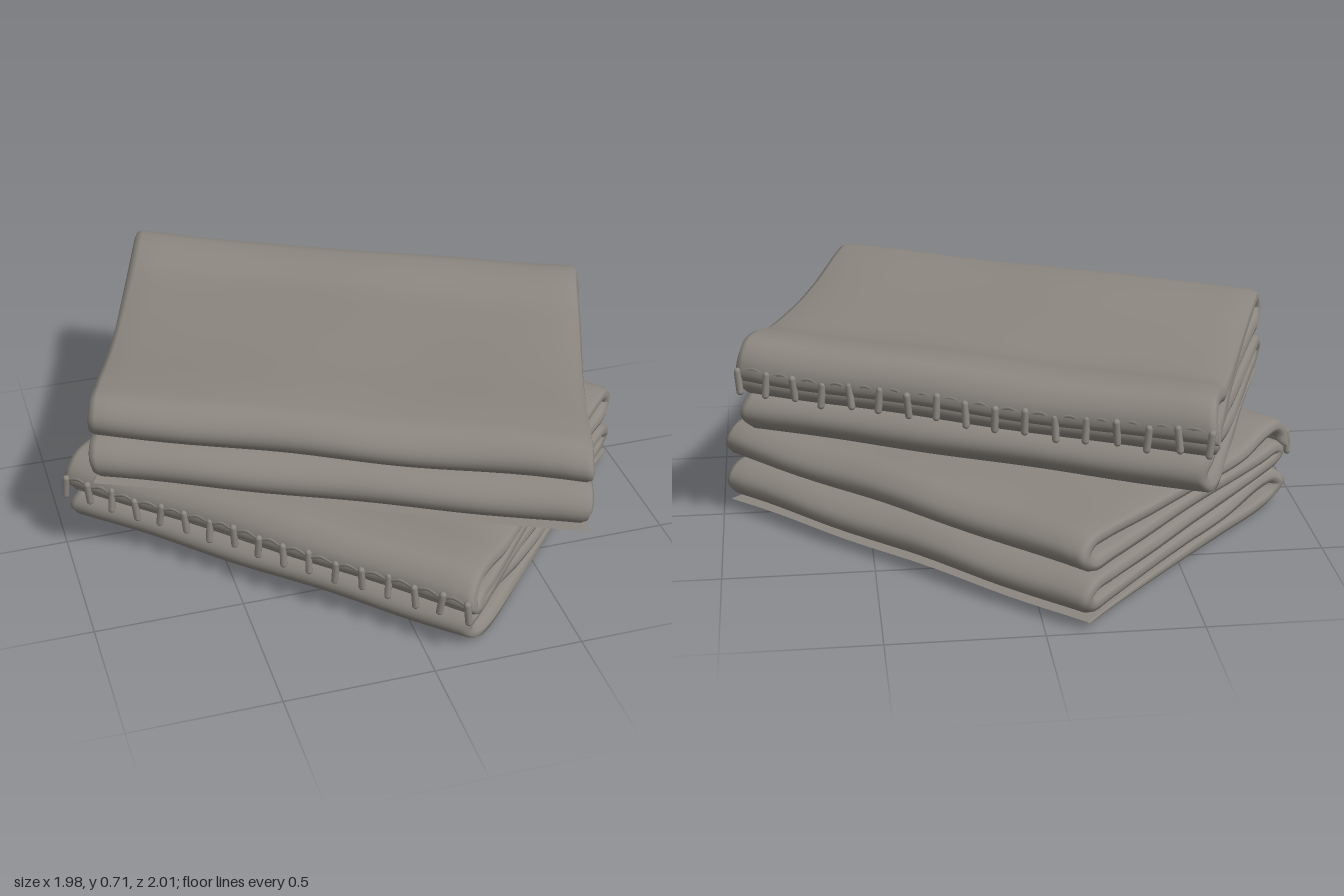
import * as THREE from 'three';

const cloth = new THREE.MeshStandardMaterial({ color: 0x8c8780 });
cloth.name = 'warm grey cloth';

// Zigzag fold seen from the short end: [across, height]
const foldProfile = (back) => [
  // bottom sheet and first back fold
  [-0.97, 0.03], [-0.4, 0.022], [0.3, 0.028], [back - 0.2, 0.029],
  [back - 0.05, 0.048], [back - 0.005, 0.084], [back - 0.05, 0.118], [back - 0.18, 0.125],
  // second layer and first front fold
  [0.3, 0.09], [-0.3, 0.083], [-0.75, 0.072],
  [-0.91, 0.075], [-0.968, 0.113], [-0.91, 0.151], [-0.75, 0.154],
  // third layer and hidden back fold
  [-0.3, 0.145], [0.3, 0.149], [0.72, 0.168],
  [0.86, 0.185], [0.9, 0.207], [0.86, 0.228], [0.7, 0.222],
  // fourth layer and second front fold
  [0.3, 0.213], [-0.3, 0.213], [-0.75, 0.228],
  [-0.91, 0.236], [-0.968, 0.275], [-0.91, 0.313], [-0.78, 0.316],
  // top layer and the flap hanging over the back
  [-0.3, 0.286], [0.2, 0.275], [0.52, 0.281],
  [0.75, 0.312], [0.89, 0.312], [0.95, 0.275], [0.955, 0.215],
];
const HALF_THICK = 0.029;

// u and w are half-edge vectors [x, z]; the fringe hangs at w = +1
function makeBlanket({ name, u, w, centre, base, scaleY, back, endLift }) {
  const group = new THREE.Group();
  group.name = name;
  const uLen = Math.hypot(...u), wLen = Math.hypot(...w);

  // Blanket coordinates to model space, with soft sag, wrinkles and a skewed back fold
  const place = (a, b, y) => {
    const level = Math.min(1, Math.max(0, y / 0.3));
    const toBack = Math.max(0, b);
    const lift = 0.03 * level * level * Math.max(0, 1 - a ** 4) * Math.max(0, 1 - b * b)
      + endLift * level * level * toBack * a ** 4;
    const skew = 0.04 * toBack * Math.exp(-(((y - 0.082) / 0.05) ** 2));
    const along = a * (1 - 0.022 * (1 - b * b) + 0.008 * Math.sin(25 * y + 3 * b)) + skew;
    const across = b + 0.008 * Math.sin(7 * a + 12 * y);
    const x = centre[0] + along * u[0] + across * w[0];
    const z = centre[1] + along * u[1] + across * w[1];
    const ripple = 0.006 * Math.sin(6 * x + 2) * Math.cos(5 * z) * level;
    return new THREE.Vector3(x, base + scaleY * (y + lift + ripple), z);
  };

  // Sheet: a flat ring with rounded ends swept along the fold
  const curve = new THREE.CatmullRomCurve3(
    foldProfile(back).map(([b, y]) => new THREE.Vector3(b * wLen, y, 0)), false, 'centripetal');
  const steps = 210, flat = 20, arc = 4;
  const ring = [];
  for (const side of [1, -1]) {
    for (let i = 0; i <= flat; i++) ring.push([side * (2 * i / flat - 1), 0, side]);
    for (let i = 1; i < arc; i++) {
      const t = Math.PI * i / arc;
      ring.push([side, side * Math.sin(t), side * Math.cos(t)]);
    }
  }
  const pos = [], index = [], n = ring.length;
  for (let s = 0; s <= steps; s++) {
    const t = s / steps;
    const p = curve.getPoint(t), d = curve.getTangent(t);
    const taper = Math.min(1, 0.12 + t / 0.06, 0.1 + Math.sqrt((1 - t) / 0.015));
    const h = HALF_THICK * taper;
    for (const [flatU, round, nrm] of ring) {
      const a = (flatU * (uLen - h) + round * h) / uLen;
      const v = place(a, (p.x - d.y * nrm * h) / wLen, p.y + d.x * nrm * h);
      pos.push(v.x, Math.max(0, v.y), v.z);
    }
    if (s === steps) break;
    for (let k = 0; k < n; k++) {
      const a = s * n + k, b = s * n + (k + 1) % n;
      index.push(a, b, a + n, b, b + n, a + n);
    }
  }
  const geo = new THREE.BufferGeometry();
  geo.setAttribute('position', new THREE.Float32BufferAttribute(pos, 3));
  geo.setIndex(index);
  geo.computeVertexNormals();
  const sheet = new THREE.Mesh(geo, cloth);
  sheet.name = 'foldedSheet';
  group.add(sheet);

  // Hem cord along the flap, dipping at each tassel
  const count = 17;
  const hemPoints = [];
  for (let i = 0; i <= 2 * (count - 1); i++) {
    hemPoints.push(place(-0.97 + 0.97 * i / (count - 1), 0.99, i % 2 ? 0.268 : 0.254));
  }
  const hem = new THREE.Mesh(
    new THREE.TubeGeometry(new THREE.CatmullRomCurve3(hemPoints), 128, 0.009, 6), cloth);
  hem.name = 'hem';
  group.add(hem);

  // Fringe of short tassels
  const tasselGeo = new THREE.CapsuleGeometry(0.012, 0.07, 4, 8);
  for (let i = 0; i < count; i++) {
    const a = -0.97 + 1.94 * i / (count - 1);
    const tassel = new THREE.Mesh(tasselGeo, cloth);
    tassel.name = 'tassel';
    tassel.position.copy(place(a, 1.0, 0.225 + 0.006 * Math.sin(i * 2.3)));
    tassel.rotation.set(0.1 * Math.sin(i * 1.7), 0, 0.1 * Math.cos(i * 2.9));
    group.add(tassel);
  }
  return group;
}

export function createModel() {
  const model = new THREE.Group();
  model.name = 'foldedBlankets';
  model.add(
    makeBlanket({
      name: 'lowerBlanket', u: [-0.558, -0.53], w: [-0.435, 0.475],
      centre: [0, -0.004], base: 0, scaleY: 0.91, back: 0.88, endLift: -0.008,
    }),
    makeBlanket({
      name: 'upperBlanket', u: [0.733, 0.36], w: [0.203, -0.572],
      centre: [0, 0.01], base: 0.345, scaleY: 1, back: 0.85, endLift: 0.015,
    }),
  );
  return model;
}
